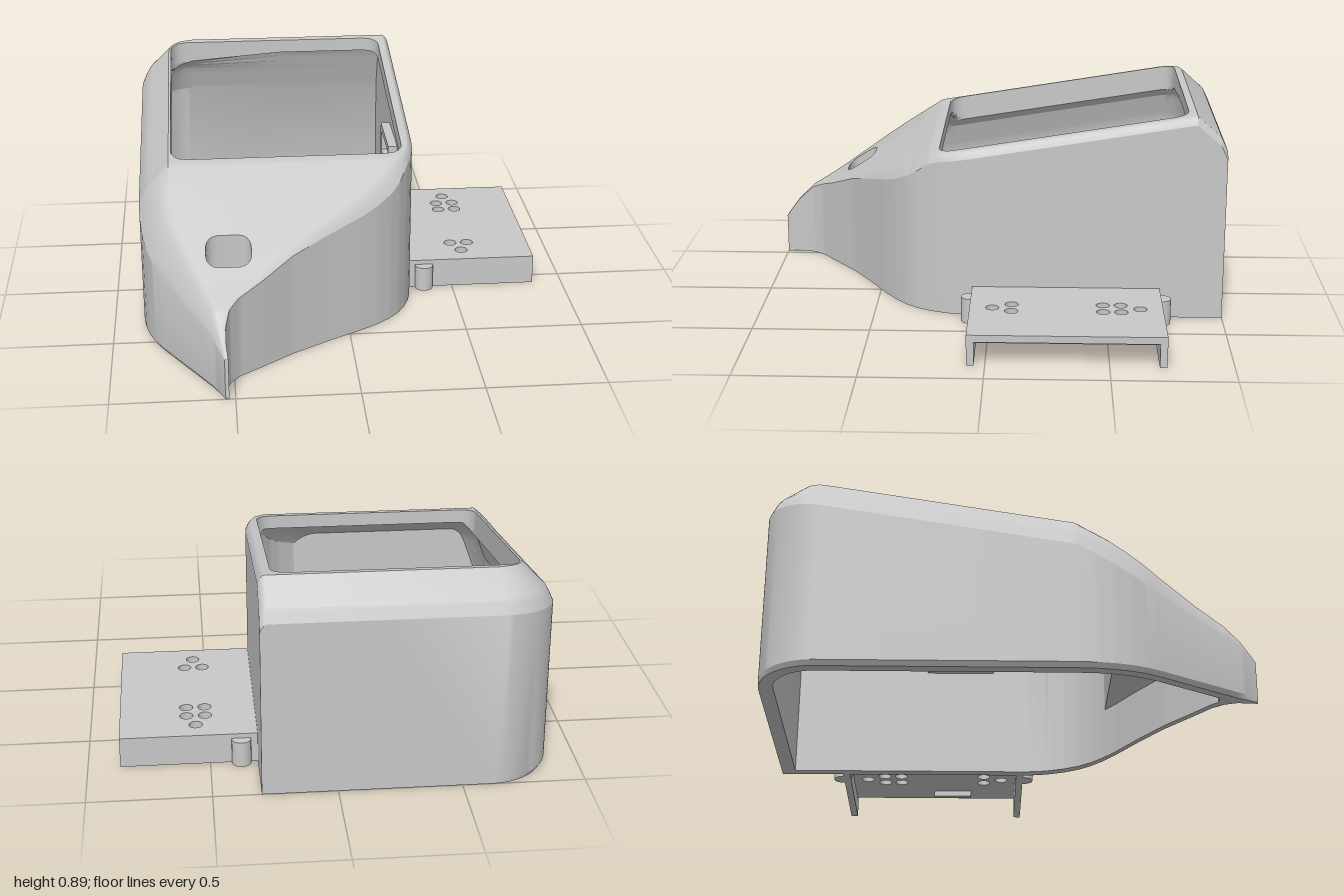
import * as THREE from 'three';
import { toCreasedNormals } from 'three/addons/utils/BufferGeometryUtils.js';

// piecewise-linear lookup in [z, value] pairs
function lookup(table, z) {
  if (z <= table[0][0]) return table[0][1];
  for (let i = 1; i < table.length; i++) {
    const [z0, a] = table[i - 1], [z1, b] = table[i];
    if (z <= z1) return a + (b - a) * (z - z0) / (z1 - z0);
  }
  return table[table.length - 1][1];
}

// outline, roof line and edge roundings along the depth of the housing
const LEFT = [[0.25, -0.875], [0.33, -0.872], [0.4, -0.862], [0.47, -0.845], [0.53, -0.822], [0.58, -0.795], [1, -0.54]];
const RIGHT = [[0.07, 0.305], [0.14, 0.3], [0.2, 0.285], [0.26, 0.262], [0.32, 0.228], [0.37, 0.185], [0.42, 0.125],
  [0.47, 0.05], [0.55, -0.09], [0.65, -0.25], [0.75, -0.38], [0.82, -0.475], [0.87, -0.515], [0.92, -0.531], [0.97, -0.531], [1, -0.525]];
const ROOF = [[-1, 0.91], [0.26, 0.705], [0.636, 0.468], [0.75, 0.395], [0.87, 0.328], [0.94, 0.262], [0.984, 0.203], [1, 0.18]];
const BEVEL = [[0.25, 0.13], [0.6, 0.11], [0.85, 0.06], [1, 0.004]];
const RIGHT_WIDTH = [[0.22, 0.028], [0.35, 0.1], [0.45, 0.1], [0.65, 0.05], [0.85, 0.006]];
const RIGHT_DROP = [[0.22, 0.035], [0.35, 0.05], [0.45, 0.045], [0.65, 0.012], [0.85, 0.002]];
// inside height limit that leaves a solid block in the nose
const CEILING = [[0.43, 1], [0.431, 0.22]];
const HOLES = [
  { z0: -0.84, z1: 0.22, x0: -0.735, x1: 0.25, r: 0.07 },
  { z0: 0.565, z1: 0.695, x0: -0.6, x1: -0.415, r: 0.05 },
];
const CORNER = 0.24, WALL = 0.06, NOSE = 0.84;

// left side position at a distance d in from the outline
function leftX(z, d) {
  const dz = z + 1 - CORNER;
  if (dz >= 0) return lookup(LEFT, z) + d;
  return -0.875 + CORNER - Math.sqrt(Math.max(0, (CORNER - d) ** 2 - dz * dz));
}

// one cross-section: points left of the roof opening and points right of it
function section(z, hole, inner) {
  const t = inner ? WALL : 0, tr = inner ? 0.045 : 0;
  const D = lookup(BEVEL, z), dMax = Math.min(D, z + 1), roof = lookup(ROOF, z);
  const soft = Math.min(1, Math.max(0, (z - 0.2) / 0.2));
  const fall = (d) => {
    const u = d / D;
    const straight = u < 0.2 ? 1 - 1.75 * u : 0.8125 * (1 - u);
    return -1.31 * D * (straight * (1 - soft) + (1 - u) ** 1.8 * soft);
  };
  const top = roof + fall(dMax), xR = lookup(RIGHT, z);
  const rw = Math.min(lookup(RIGHT_WIDTH, z), (xR - leftX(z, 0)) * 0.2);
  let h0 = (leftX(z, dMax) + xR - rw) / 2, h1 = h0;
  if (hole) {
    const edge = Math.min(z - hole.z0, hole.z1 - z), q = Math.max(0, hole.r - edge);
    const inset = hole.r - Math.sqrt(Math.max(0, hole.r ** 2 - q * q));
    h0 = hole.x0 + inset;
    h1 = hole.x1 - inset;
  }
  // the inside leans inwards towards the opening, e being the distance from the inner wall
  const height = (y, e) => (inner ? Math.min(y - t, roof - 0.28 + 2.75 * e, lookup(CEILING, z)) : y);
  const x0 = Math.min(leftX(z, t), h0), reach = Math.min(D, z + 1 - t);
  const chamfer = Math.min(0.014, (xR - x0) * 0.2);
  const left = inner ? [[x0, 0, z]] : [[x0 + chamfer, 0, z], [x0, 0.02, z]];
  for (let k = 0; k <= 8; k++) {
    const d = reach * k / 8;
    left.push([Math.min(leftX(z, t + d), h0), height(roof + fall(d), d), z]);
  }
  const back = z + 1 - t;
  left.push([h0, height(top, back), z]);
  const right = [[h1, height(top, back), z]];
  for (let k = 0; k <= 5; k++) {
    const u = k / 5, y = top - lookup(RIGHT_DROP, z) * u * u;
    right.push([Math.max(xR - rw * (1 - u) - tr, h1), height(y, back), z]);
  }
  right.push([Math.max(xR - tr, h1), 0, z]);
  return { left, right };
}

// depth stations, doubled where an opening starts and ends
function stations() {
  const list = [];
  const span = (a, b, n, hole, power = 1) => {
    for (let i = 0; i <= n; i++) list.push({ z: a + (b - a) * (i / n) ** power, hole });
  };
  const [window, button] = HOLES;
  const opening = (h, n) => {
    span(h.z0, h.z0 + h.r, 9, h);
    span(h.z0 + h.r, h.z1 - h.r, n, h);
    span(h.z1 - h.r, h.z1, 9, h);
  };
  span(-1, WALL - 1, 12, undefined, 2);
  span(WALL - 1, window.z0, 12, undefined, 2);
  opening(window, 30);
  span(window.z1, 0.43, 20);
  span(0.431, button.z0, 12);
  opening(button, 2);
  span(button.z1, 1, 32);
  return list;
}

// hollow housing, open underneath
function housingGeometry() {
  const pos = [];
  const tri = (a, b, c) => pos.push(...a, ...b, ...c);
  const quad = (a, b, c, d) => { tri(a, b, c); tri(a, c, d); };
  const fan = (p, flip) => {
    for (let i = 1; i < p.length - 1; i++) flip ? tri(p[0], p[i + 1], p[i]) : tri(p[0], p[i], p[i + 1]);
  };
  const rows = stations().map(({ z, hole }) => {
    const o = section(z, hole, false);
    const n = section(Math.min(NOSE, Math.max(WALL - 1, z)), hole, true);
    return {
      o: [...o.left, ...o.right], n: [...n.left, ...n.right],
      loops: [[...o.left, ...n.left.reverse()], [...o.right, ...n.right.reverse()]],
    };
  });
  for (let s = 0; s < rows.length - 1; s++) {
    for (let l = 0; l < 2; l++) {
      const a = rows[s].loops[l], b = rows[s + 1].loops[l];
      for (let i = 0; i < a.length; i++) {
        const j = (i + 1) % a.length;
        quad(a[i], b[i], b[j], a[j]);
      }
    }
  }
  // back wall and nose closure, each with its lower rim
  [rows[0], rows[rows.length - 1]].forEach(({ o, n }, front) => {
    fan(o, front === 1);
    fan(n, front === 0);
    fan([o[0], o[o.length - 1], n[n.length - 1], n[0]], front === 1);
  });
  const g = new THREE.BufferGeometry();
  g.setAttribute('position', new THREE.Float32BufferAttribute(pos, 3));
  return toCreasedNormals(g, 0.38);
}

// flat slab with vent holes, lying from y = 0 up
function ventedPlate(x0, x1, z0, z1, height, vents) {
  const shape = new THREE.Shape();
  shape.moveTo(x0, -z0).lineTo(x0, -z1).lineTo(x1, -z1).lineTo(x1, -z0).closePath();
  for (const [x, z] of vents) {
    shape.holes.push(new THREE.Path().absarc(x, -z, 0.028, 0, Math.PI * 2, true));
  }
  const g = new THREE.ExtrudeGeometry(shape, { depth: height, bevelEnabled: false, curveSegments: 16 });
  return g.rotateX(-Math.PI / 2);
}

export function createModel() {
  const model = new THREE.Group();
  const grey = new THREE.MeshStandardMaterial({ color: 0xc8c8c8 });
  grey.name = 'plain grey';

  const add = (name, geometry, parent = model) => {
    const m = new THREE.Mesh(geometry, grey);
    m.name = name;
    parent.add(m);
    return m;
  };
  const box = (name, x0, x1, y0, y1, z0, z1, parent) => {
    const m = add(name, new THREE.BoxGeometry(x1 - x0, y1 - y0, z1 - z0), parent);
    m.position.set((x0 + x1) / 2, (y0 + y1) / 2, (z0 + z1) / 2);
  };

  add('housing', housingGeometry());

  // small frame on the inside of the right wall
  const bracket = new THREE.Group();
  bracket.name = 'innerBracket';
  model.add(bracket);
  for (const y of [0.48, 0.6]) box('bracketBar', 0.22, 0.265, y, y + 0.03, -0.36, -0.06, bracket);
  for (const z of [-0.36, -0.09]) box('bracketPost', 0.22, 0.265, 0.48, 0.63, z, z + 0.03, bracket);

  // side tray: thin vented lid, thicker vented floor behind its open end
  const tray = new THREE.Group();
  tray.name = 'sideTray';
  model.add(tray);
  const vents = [[0.555, -0.635], [0.515, -0.555], [0.592, -0.555], [0.515, -0.48], [0.592, -0.48],
    [0.515, -0.1], [0.592, -0.1], [0.555, -0.02]];
  add('trayLid', ventedPlate(0.29, 0.868, -0.73, 0.075, 0.03, vents), tray).position.y = 0.1;
  add('trayFloor', ventedPlate(0.29, 0.8, -0.7, 0.045, 0.03, vents), tray).position.y = 0.07;
  for (const z of [-0.73, 0.045]) box('traySide', 0.29, 0.868, 0, 0.101, z, z + 0.03, tray);
  box('trayCatch', 0.7, 0.73, 0.045, 0.071, -0.33, -0.16, tray);

  // rounded lugs on both tray sides
  for (const z of [-0.735, 0.08]) {
    const lug = add('trayLug', new THREE.CylinderGeometry(0.04, 0.04, 0.11, 24), tray);
    lug.position.set(0.372, 0.055, z);
  }
  return model;
}
